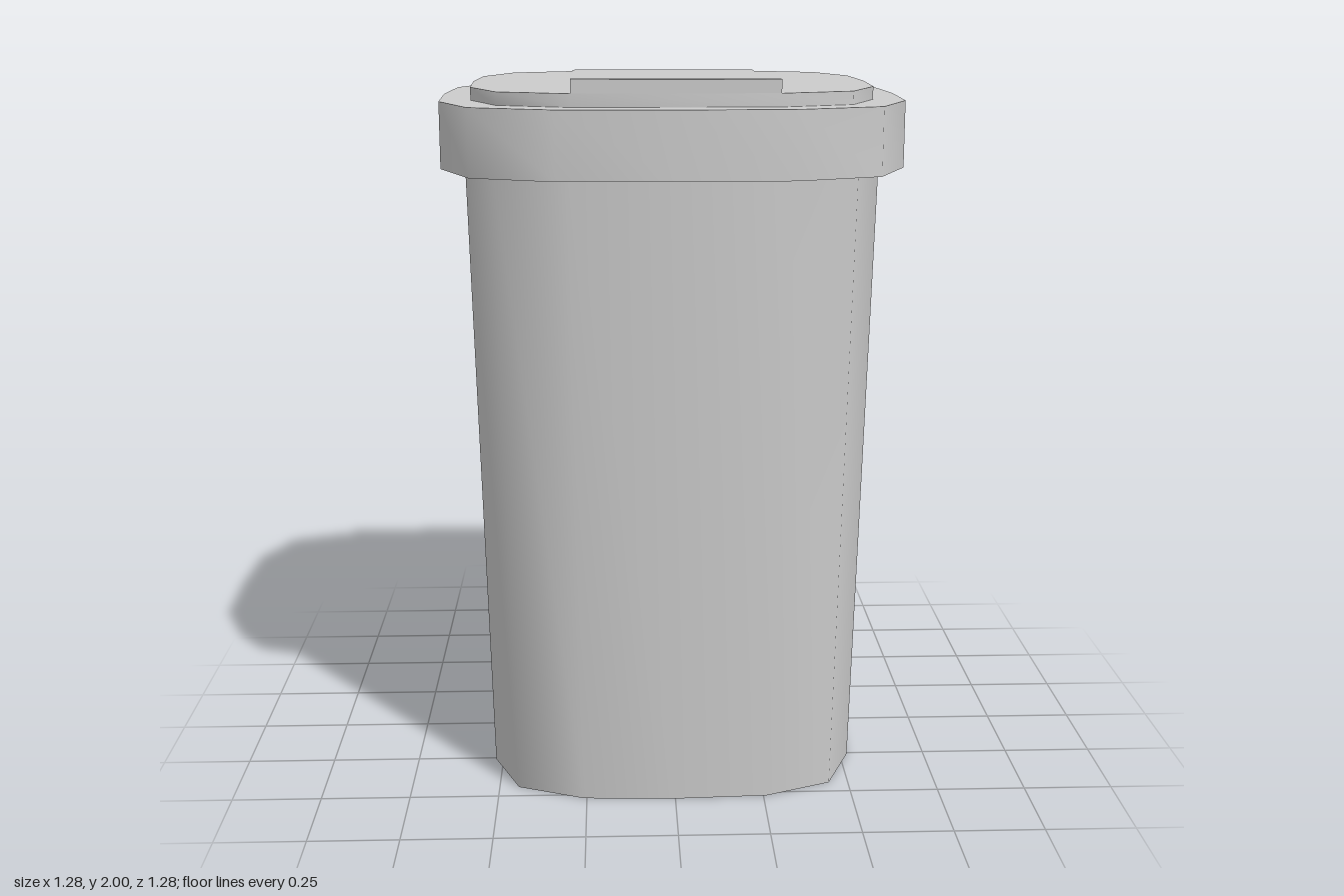
import * as THREE from 'three';
import { toCreasedNormals } from 'three/addons/utils/BufferGeometryUtils.js';

const material = new THREE.MeshStandardMaterial({ color: 0xcccccc });

// Rounded-square outline as [x, z] points, walked once around
const quarter = [[0, 0.64], [0.31, 0.627], [0.535, 0.535], [0.627, 0.31]];
const outline = [];
for (let q = 0; q < 4; q++) {
  for (const [a, b] of quarter) {
    outline.push([[a, b], [b, -a], [-a, -b], [-b, a]][q]);
  }
}

// Upright solid over an [x, z] outline, scaled from bottom to top
function prism(name, points, y0, y1, s0 = 1, s1 = 1) {
  const shape = new THREE.Shape(points.map(([x, z]) => new THREE.Vector2(x, -z)));
  const geometry = new THREE.ExtrudeGeometry(shape, { depth: y1 - y0, bevelEnabled: false });
  geometry.rotateX(-Math.PI / 2);
  const p = geometry.attributes.position;
  for (let i = 0; i < p.count; i++) {
    const s = THREE.MathUtils.lerp(s0, s1, p.getY(i) / (y1 - y0));
    p.setXYZ(i, p.getX(i) * s, p.getY(i) + y0, p.getZ(i) * s);
  }
  const mesh = new THREE.Mesh(toCreasedNormals(geometry, Math.PI / 3), material);
  mesh.name = name;
  return mesh;
}

export function createModel() {
  const group = new THREE.Group();
  group.name = 'wasteBin';

  // Tapered body
  group.add(prism('body', outline, 0, 1.8, 0.832, 0.9));

  // Overhanging rim, its back corners pulled in to meet the hinge tab
  const rim = outline.map(([x, z]) => (z < -0.6 && x !== 0 ? [Math.sign(x) * 0.287, -0.63] : [x, z]));
  group.add(prism('lidRim', rim, 1.75, 1.93));

  // Raised lid panel with a tab reaching the back edge
  const half = [[0.27, 0.547], [0.465, 0.465], [0.545, 0.267], [0.556, 0],
    [0.545, -0.267], [0.465, -0.467], [0.287, -0.548], [0.287, -0.63]];
  const mirrored = half.map(([x, z]) => [-x, z]).reverse();
  group.add(prism('lidPanel', [...half, [0, -0.64], ...mirrored], 1.93, 1.965));

  // Finger grip along the front edge, sloped at its back
  const profile = new THREE.Shape([[-0.547, 1.96], [-0.46, 1.96], [-0.46, 1.965], [-0.482, 2], [-0.547, 2]]
    .map(([z, y]) => new THREE.Vector2(z, y)));
  const gripGeometry = new THREE.ExtrudeGeometry(profile, { depth: 0.54, bevelEnabled: false });
  gripGeometry.translate(0, 0, -0.27).rotateY(Math.PI / 2);
  const grip = new THREE.Mesh(gripGeometry.rotateY(Math.PI / 2).rotateY(-Math.PI / 2), material);
  // The profile's negative axis now points along +z
  grip.name = 'lidGrip';
  group.add(grip);

  return group;
}
